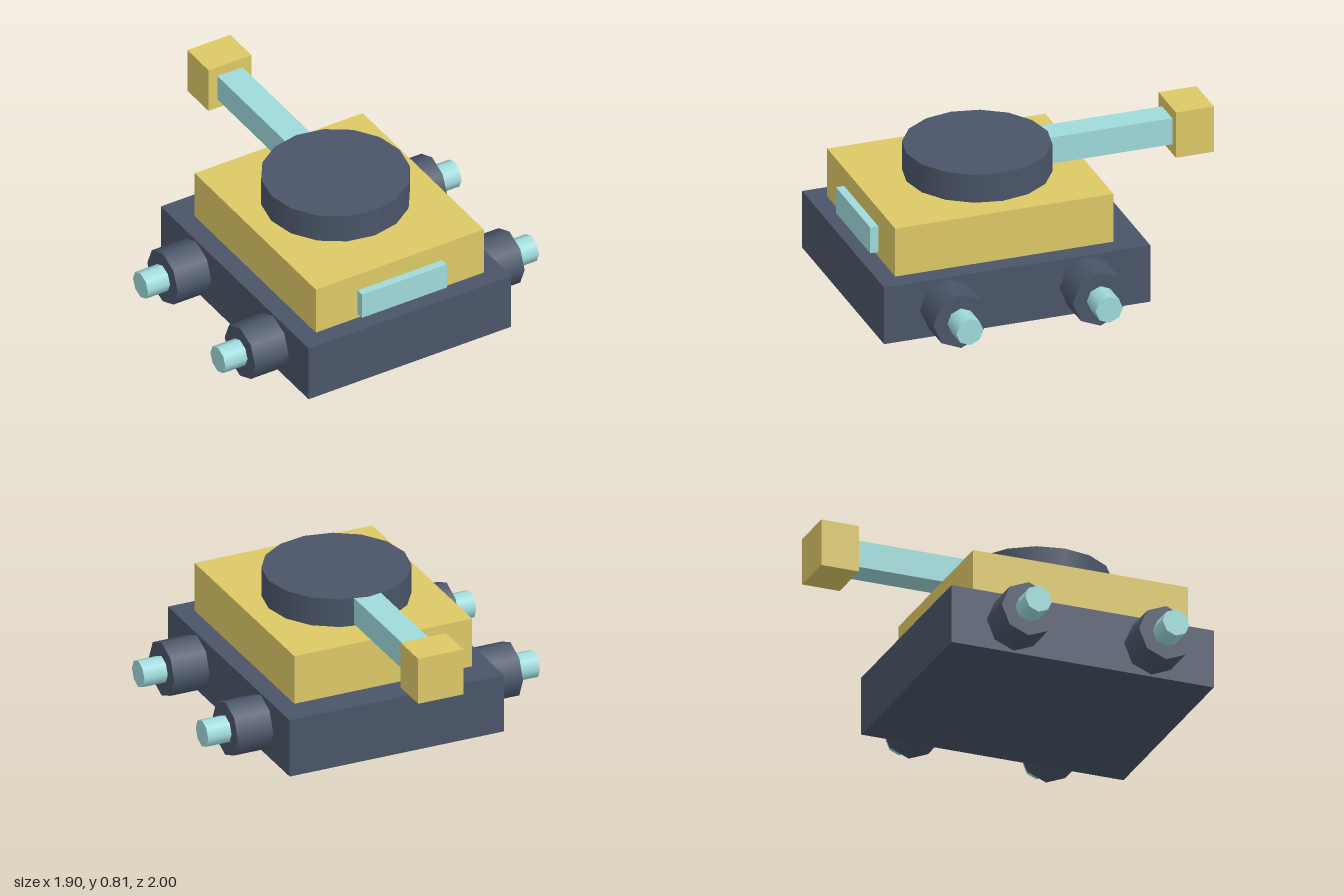
import * as THREE from 'three';

const material = (color) => new THREE.MeshStandardMaterial({ color });

export function createModel() {
  const model = new THREE.Group();
  model.name = 'tank';
  const slate = material(0x4a5568);
  const gold = material(0xdcc866);
  const aqua = material(0x9fdadb);

  const add = (name, geometry, mat, x, y, z) => {
    const mesh = new THREE.Mesh(geometry, mat);
    mesh.name = name;
    mesh.position.set(x, y, z);
    model.add(mesh);
    return mesh;
  };

  // Box given by its width and its y and z ranges, centred on x = 0
  const box = (name, mat, width, y0, y1, z0, z1) =>
    add(name, new THREE.BoxGeometry(width, y1 - y0, z1 - z0), mat, 0, (y0 + y1) / 2, (z0 + z1) / 2);

  // Hull, deck and front plate
  box('hull', slate, 1.23, 0, 0.325, -0.47, 1);
  box('deck', gold, 1.02, 0.325, 0.6, -0.305, 0.9);
  box('frontPlate', aqua, 0.515, 0.352, 0.5, 0.9, 0.945);

  // Turret with its gun; the barrel runs into the turret
  add('turret', new THREE.CylinderGeometry(0.39, 0.39, 0.16, 16), slate, 0, 0.68, 0.26);
  box('barrel', aqua, 0.152, 0.608, 0.758, -0.79, 0.2);
  box('muzzle', gold, 0.26, 0.555, 0.815, -1, -0.79);

  // Octagonal wheels with protruding axles, two on each side
  const wheel = new THREE.CylinderGeometry(0.152, 0.152, 0.24, 8).rotateZ(Math.PI / 2);
  const axle = new THREE.CylinderGeometry(0.075, 0.075, 0.19, 8).rotateZ(Math.PI / 2);
  for (const [side, sx] of [['left', 1], ['right', -1]]) {
    for (const [end, z] of [['Front', 0.65], ['Rear', -0.12]]) {
      add(`${side}${end}Wheel`, wheel, slate, sx * 0.698, 0.164, z);
      add(`${side}${end}Axle`, axle, aqua, sx * 0.857, 0.164, z);
    }
  }
  return model;
}
